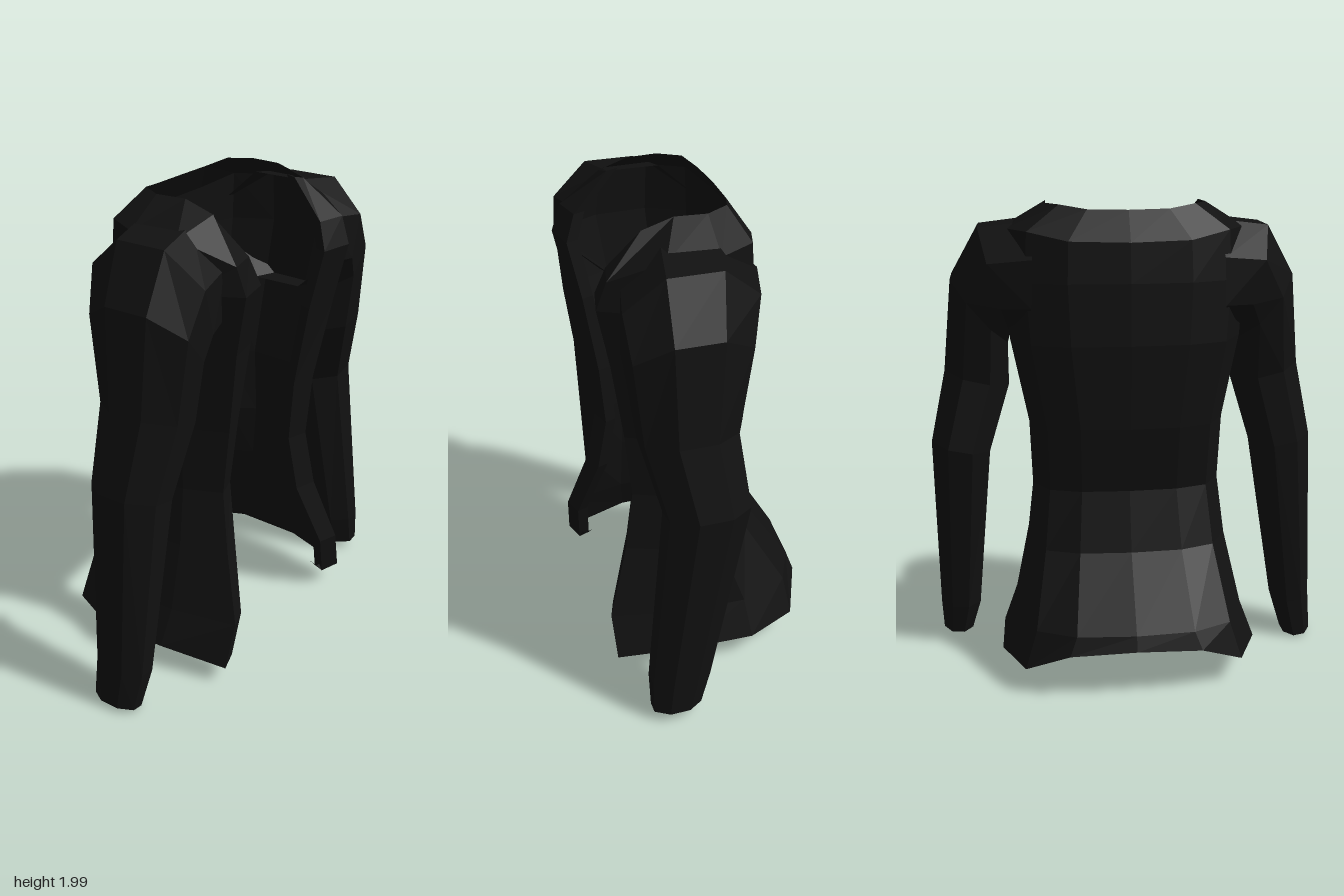
import * as THREE from 'three';

const material = new THREE.MeshStandardMaterial({
  color: 0x111111, flatShading: true, side: THREE.DoubleSide,
});
const { lerp } = THREE.MathUtils;

// Skin a grid of points: rows of equal length, optionally closed around
function loft(name, rows, closed = false, flip = false) {
  const n = rows[0].length, index = [];
  for (let r = 0; r < rows.length - 1; r++) {
    for (let c = 0; c < (closed ? n : n - 1); c++) {
      const a = r * n + c, b = r * n + (c + 1) % n;
      if (flip) index.push(a, b + n, b, a, a + n, b + n);
      else index.push(a, b, b + n, a, b + n, a + n);
    }
  }
  const geometry = new THREE.BufferGeometry();
  geometry.setAttribute('position', new THREE.Float32BufferAttribute(rows.flat(2), 3));
  geometry.setIndex(index);
  geometry.computeVertexNormals();
  const mesh = new THREE.Mesh(geometry, material);
  mesh.name = name;
  return mesh;
}

const BODY_X = 0.02; // the garment hangs slightly off centre

// Half a body section, from the facing of the front edge round to the spine
function halfSection([yFront, ySide, yBack, edgeX, sideX, zFront, zBack]) {
  const depth = (t) => lerp(zFront, zBack, t);
  return [
    [edgeX + 0.02, yFront, zFront - 0.08],
    [edgeX, yFront, zFront - 0.03],
    [lerp(edgeX, sideX, 0.55), yFront, zFront],
    [sideX - 0.01, ySide, depth(0.32)],
    [sideX, ySide, depth(0.65)],
    [sideX * 0.83, ySide, depth(0.89)],
    [sideX * 0.5, lerp(ySide, yBack, 0.85), depth(0.98)],
    [0, yBack, zBack],
  ];
}

function body() {
  // Front, side and back height, front edge x, side x, front z, back z
  const halves = [
    [0.09, 0.12, 0.22, 0.38, 0.55, 0.44, -0.45],
    [0.28, 0.28, 0.28, 0.33, 0.49, 0.45, -0.425],
    [0.57, 0.57, 0.57, 0.25, 0.43, 0.36, -0.225],
    [0.82, 0.82, 0.82, 0.23, 0.4, 0.32, -0.155],
    [1.1, 1.1, 1.1, 0.215, 0.41, 0.345, -0.2],
    [1.45, 1.45, 1.45, 0.22, 0.48, 0.4, -0.22],
    [1.7, 1.7, 1.7, 0.235, 0.5, 0.45, -0.215],
    [1.81, 1.9, 1.86, 0.26, 0.49, 0.41, -0.2],
    [1.96, 2, 1.98, 0.3, 0.33, 0.26, -0.12],
  ].map(halfSection);
  // Turned-in hem
  halves.unshift(halves[0].map(([x, y, z]) => [x * 0.95, y + 0.03, z * 0.95]));

  const rows = halves.map((half) => {
    const mirrored = half.slice(0, -1).reverse().map(([x, y, z]) => [-x, y, z]);
    return [...half, ...mirrored].map(([x, y, z]) => [x + BODY_X, y, z]);
  });
  return loft('body', rows);
}

// Sleeve rings: outer x, y, inner x, y, back z, front z (x measured outwards)
const upperSleeve = [
  [0.38, 1.93, 0.4, 1.46, -0.16, 0.36],
  [0.6, 1.9, 0.48, 1.465, -0.11, 0.4],
  [0.72, 1.69, 0.49, 1.42, -0.06, 0.39],
  [0.76, 1.3, 0.49, 1.235, 0, 0.36],
];
const leftForearm = [
  [0.845, 1, 0.6, 0.95, -0.03, 0.29],
  [0.845, 0.2, 0.67, 0.19, 0.13, 0.37],
  [0.84, 0.06, 0.71, 0.05, 0.17, 0.37],
];
const rightForearm = [
  [0.805, 0.98, 0.56, 0.93, 0, 0.31],
  [0.84, 0.2, 0.68, 0.18, 0.04, 0.27],
  [0.85, 0.03, 0.73, 0.01, 0.04, 0.24],
];

function sleeve(name, side, forearm) {
  const shift = side * BODY_X;
  const rings = [
    ...upperSleeve.map(([ox, oy, ix, ...rest]) => [ox + shift, oy, ix + shift, ...rest]),
    ...forearm,
  ];
  // Turned-in cuff
  const [ox, oy, ix, iy, zb, zf] = forearm[forearm.length - 1];
  rings.push([ox - 0.015, oy + 0.04, ix + 0.015, iy + 0.04, zb + 0.02, zf - 0.02]);

  // Eight-sided rings whose flats touch the given extents
  const sides = 8, grow = 1 / Math.cos(Math.PI / sides);
  const rows = rings.map(([ax, ay, bx, by, z0, z1]) =>
    Array.from({ length: sides }, (_, i) => {
      const t = ((i + 0.5) / sides) * Math.PI * 2;
      const u = (1 + Math.cos(t)) / 2 * grow - (grow - 1) / 2;
      const w = (1 + Math.sin(t)) / 2 * grow - (grow - 1) / 2;
      return [side * lerp(bx, ax, u), lerp(by, ay, u), lerp(z0, z1, w)];
    }));
  return loft(name, rows, true, side < 0);
}

export function createModel() {
  const jacket = new THREE.Group();
  jacket.name = 'openJacket';
  jacket.add(
    body(),
    sleeve('leftSleeve', 1, leftForearm),
    sleeve('rightSleeve', -1, rightForearm),
  );
  return jacket;
}
